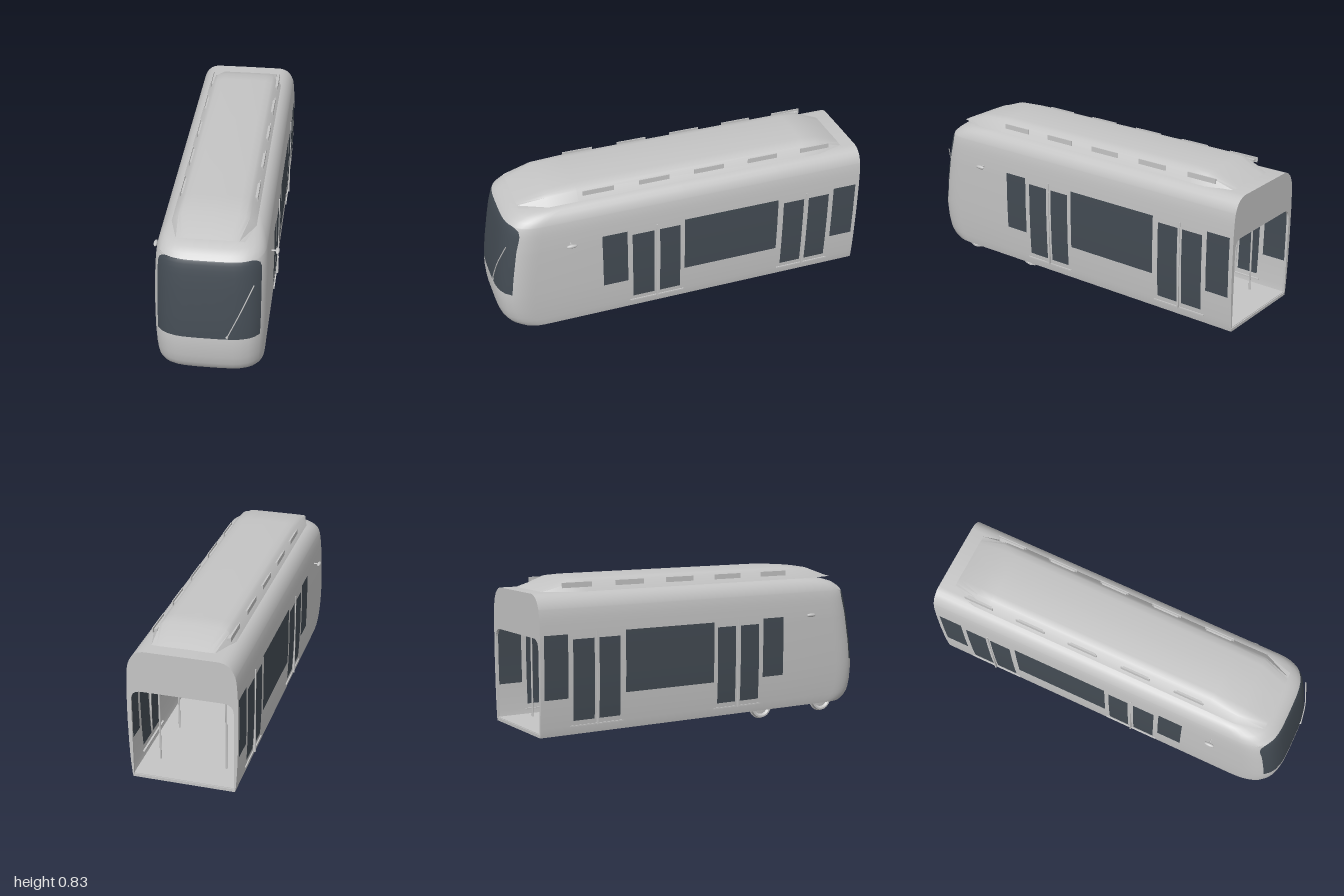
import * as THREE from 'three';
import { toCreasedNormals } from 'three/addons/utils/BufferGeometryUtils.js';

const paint = new THREE.MeshStandardMaterial({ color: 0xc4c4c4, side: THREE.DoubleSide });
paint.name = 'light grey paint';
const glass = new THREE.MeshStandardMaterial({ color: 0x434b53, side: THREE.DoubleSide });
glass.name = 'dark glass';

function add(parent, name, geometry, material = paint, x = 0, y = 0, z = 0) {
  const mesh = new THREE.Mesh(geometry, material);
  mesh.name = name;
  mesh.position.set(x, y, z);
  parent.add(mesh);
  return mesh;
}
const box = (w, h, d) => new THREE.BoxGeometry(w, h, d);
const crossBar = (r, length, n = 20) => new THREE.CylinderGeometry(r, r, length, n).rotateZ(Math.PI / 2);

// Surface through rows of points; cells for which isGlass is true use material 1
function loft(rows, isGlass = () => false) {
  const n = rows[0].length, cells = [[], []];
  for (let i = 0; i < rows.length - 1; i++) {
    for (let j = 0; j < n - 1; j++) {
      const a = i * n + j, c = a + n;
      cells[isGlass(i, j) ? 1 : 0].push(a, c, a + 1, a + 1, c, c + 1);
    }
  }
  const g = new THREE.BufferGeometry();
  g.setAttribute('position', new THREE.Float32BufferAttribute(rows.flat(2), 3));
  g.setIndex([...cells[0], ...cells[1]]);
  g.addGroup(0, cells[0].length, 0);
  g.addGroup(cells[0].length, cells[1].length, 1);
  return toCreasedNormals(g, 0.6);
}

// Body levels: height, half width, nose z, windscreen edge as a share of the half width
const LEVELS = [
  [0.065, 0.258, 0.93, 0.91], [0.085, 0.262, 0.957, 0.91], [0.11, 0.264, 0.976, 0.91],
  [0.134, 0.266, 0.985, 0.91], [0.18, 0.269, 0.994, 0.91], [0.25, 0.272, 0.998, 0.91],
  [0.295, 0.273, 0.996, 0.91], [0.4, 0.275, 0.983, 0.91], [0.54, 0.274, 0.96, 0.91],
  [0.567, 0.2735, 0.955, 0.91], [0.62, 0.271, 0.945, 0.92], [0.65, 0.269, 0.938, 0.92],
  [0.675, 0.266, 0.931, 0.9], [0.69, 0.263, 0.925, 0.84], [0.695, 0.262, 0.922, 0.76],
  [0.715, 0.254, 0.9, 0.82], [0.735, 0.242, 0.87, 0.86], [0.75, 0.226, 0.82, 0.88],
  [0.76, 0.208, 0.75, 0.9], [0.765, 0.185, 0.66, 0.9],
];
// Window and door panes: z from, z to, y from, y to
const PANES = [
  [-0.979, -0.85, 0.25, 0.567], [-0.823, -0.705, 0.134, 0.54], [-0.678, -0.56, 0.134, 0.54],
  [-0.528, 0, 0.25, 0.567], [0.024, 0.137, 0.134, 0.54], [0.169, 0.287, 0.134, 0.54],
  [0.314, 0.448, 0.25, 0.567],
];
const SIDE_Z = [-1, ...PANES.flatMap(p => [p[0], p[1]])];
const OUTER = [1, 0.97, 0.85, 0.65, 0.45, 0.2];
const INNER = [1, 0.9, 0.8, 0.65, 0.5, 0.25, 0];
const EDGE = SIDE_Z.length + OUTER.length;
const NOSE = 0.18;

function outline([y, w, f, e]) {
  const side = SIDE_Z.map(z => [w, y, z]);
  const shares = [...OUTER.map(k => e + (1 - e) * k), ...INNER.map(k => e * k)];
  const nose = shares.map(s => [w * s, y, f - NOSE + NOSE * Math.max(0, 1 - s ** 4) ** 0.4]);
  const half = [...side, ...nose];
  return [...half, ...half.slice(0, -1).reverse().map(([x, h, z]) => [-x, h, z])];
}

function buildShell() {
  const flat = (ring, dy) => ring.map(([, y, z]) => [0, y + dy, z]);
  const rings = LEVELS.map(outline);
  const rows = [flat(rings[0], 0), ...rings, flat(rings.at(-1), 0.001)];
  const cols = rows[0].length - 1;
  return loft(rows, (i, j) => {
    if (i < 1 || i >= LEVELS.length) return false;
    const y = (LEVELS[i - 1][0] + LEVELS[i][0]) / 2;
    const k = Math.min(j, cols - 1 - j);
    if (k >= EDGE) return y > 0.295 && y < 0.695;
    if (k >= SIDE_Z.length - 1) return false;
    const z = (SIDE_Z[k] + SIDE_Z[k + 1]) / 2;
    return PANES.some(p => z > p[0] && z < p[1] && y > p[2] && y < p[3]);
  });
}

// Rear bulkhead with the gangway opening
function buildRear() {
  const right = LEVELS.map(([y, w]) => new THREE.Vector2(w, y));
  const left = LEVELS.map(([y, w]) => new THREE.Vector2(-w, y)).reverse();
  const shape = new THREE.Shape([...right, ...left]);
  const hole = new THREE.Path();
  const x = 0.254, top = 0.55, low = 0.08, r = 0.055;
  hole.moveTo(-x, low);
  hole.lineTo(-x, top - r);
  hole.quadraticCurveTo(-x, top, -x + r, top);
  hole.lineTo(x - r, top);
  hole.quadraticCurveTo(x, top, x, top - r);
  hole.lineTo(x, low);
  hole.closePath();
  shape.holes.push(hole);
  return new THREE.ExtrudeGeometry(shape, { depth: 0.012, bevelEnabled: false, curveSegments: 8 });
}

// Roof equipment cover: z, width scale, height scale
function buildRoofPod() {
  const half = [[0.205, 0], [0.172, 0.046], [0.155, 0.058], [0.12, 0.064], [0, 0.067]];
  const profile = [...half.map(([x, y]) => [-x, y]), ...half.slice(0, -1).reverse()];
  const stations = [[-0.93, 0.82, 0], [-0.78, 1, 0.94], [-0.7, 1, 1], [0.545, 1, 1], [0.7, 1, 0.84], [0.845, 0.8, 0.03]];
  return loft(stations.map(([z, w, h]) => profile.map(([x, y]) => [x * w, 0.763 + y * h, z])));
}

function buildAxle(z) {
  const axle = new THREE.Group();
  axle.name = 'wheelset';
  axle.position.set(0, 0.072, z);
  add(axle, 'axleRod', crossBar(0.009, 0.34, 12));
  const profile = [[0, 0.012], [0.045, 0.006], [0.055, 0.016], [0.064, 0.016], [0.066, 0], [0.071, -0.003],
    [0.069, -0.01], [0.055, -0.012], [0.045, -0.004], [0, -0.006]].map(p => new THREE.Vector2(...p)).reverse();
  for (const s of [-1, 1]) {
    const wheel = add(axle, 'wheel', toCreasedNormals(new THREE.LatheGeometry(profile, 32), 0.6), paint, s * 0.172);
    wheel.rotation.z = -s * Math.PI / 2;
    add(axle, 'hubCap', crossBar(0.018, 0.03), paint, s * 0.195);
    add(axle, 'brakeDisc', crossBar(0.042, 0.011, 28), paint, s * 0.107);
  }
  return axle;
}

export function createModel() {
  const tram = new THREE.Group();
  tram.name = 'tramCar';
  add(tram, 'bodyShell', buildShell(), [paint, glass]);
  add(tram, 'rearBulkhead', buildRear(), paint, 0, 0, -1);
  add(tram, 'roofCover', buildRoofPod());

  // Interior floor, ceiling and grab rails
  add(tram, 'floor', box(0.51, 0.01, 1.75), paint, 0, 0.078, -0.12);
  add(tram, 'ceiling', box(0.53, 0.008, 1.75), paint, 0, 0.6, -0.12);
  for (const s of [-1, 1]) {
    for (const z of [-0.84, -0.54, 0, 0.3]) {
      add(tram, 'grabPole', new THREE.CylinderGeometry(0.005, 0.005, 0.52, 8), paint, s * 0.17, 0.34, z);
    }
    add(tram, 'grabRail', box(0.008, 0.008, 1.14), paint, s * 0.17, 0.51, -0.27);

    // Door seals and sills
    for (const z of [0.153, -0.69]) {
      add(tram, 'doorSeal', box(0.012, 0.47, 0.008), paint, s * 0.272, 0.34, z);
      add(tram, 'doorSill', box(0.016, 0.006, 0.3), paint, s * 0.262, 0.108, z);
    }

    // Roof vents
    for (let i = 0; i < 5; i++) {
      add(tram, 'roofVent', box(0.005, 0.026, 0.163), paint, s * 0.191, 0.797, 0.436 - i * 0.298);
      add(tram, 'ventBracket', box(0.018, 0.012, 0.14), paint, s * 0.181, 0.793, 0.436 - i * 0.298);
    }

    // Side mirrors
    add(tram, 'mirrorArm', crossBar(0.004, 0.04, 10), paint, s * 0.286, 0.569, 0.615);
    add(tram, 'mirror', new THREE.SphereGeometry(1, 20, 12), paint, s * 0.303, 0.569, 0.615).scale.set(0.01, 0.01, 0.028);
  }

  // Windscreen wiper
  const path = new THREE.LineCurve3(new THREE.Vector3(0.095, 0.307, 0.998), new THREE.Vector3(0.218, 0.583, 0.935));
  const arm = new THREE.CatmullRomCurve3([path.v1, new THREE.Vector3(0.157, 0.445, 0.977), path.v2]);
  add(tram, 'wiperArm', new THREE.TubeGeometry(arm, 12, 0.003, 6));
  add(tram, 'wiperPivot', new THREE.SphereGeometry(0.007, 12, 8), paint, 0.095, 0.307, 0.994);

  // Bogie
  for (const z of [0.785, 0.37]) tram.add(buildAxle(z));
  for (const z of [0.685, 0.475]) add(tram, 'motor', crossBar(0.028, 0.168, 24), paint, -0.014, 0.07, z);
  return tram;
}
